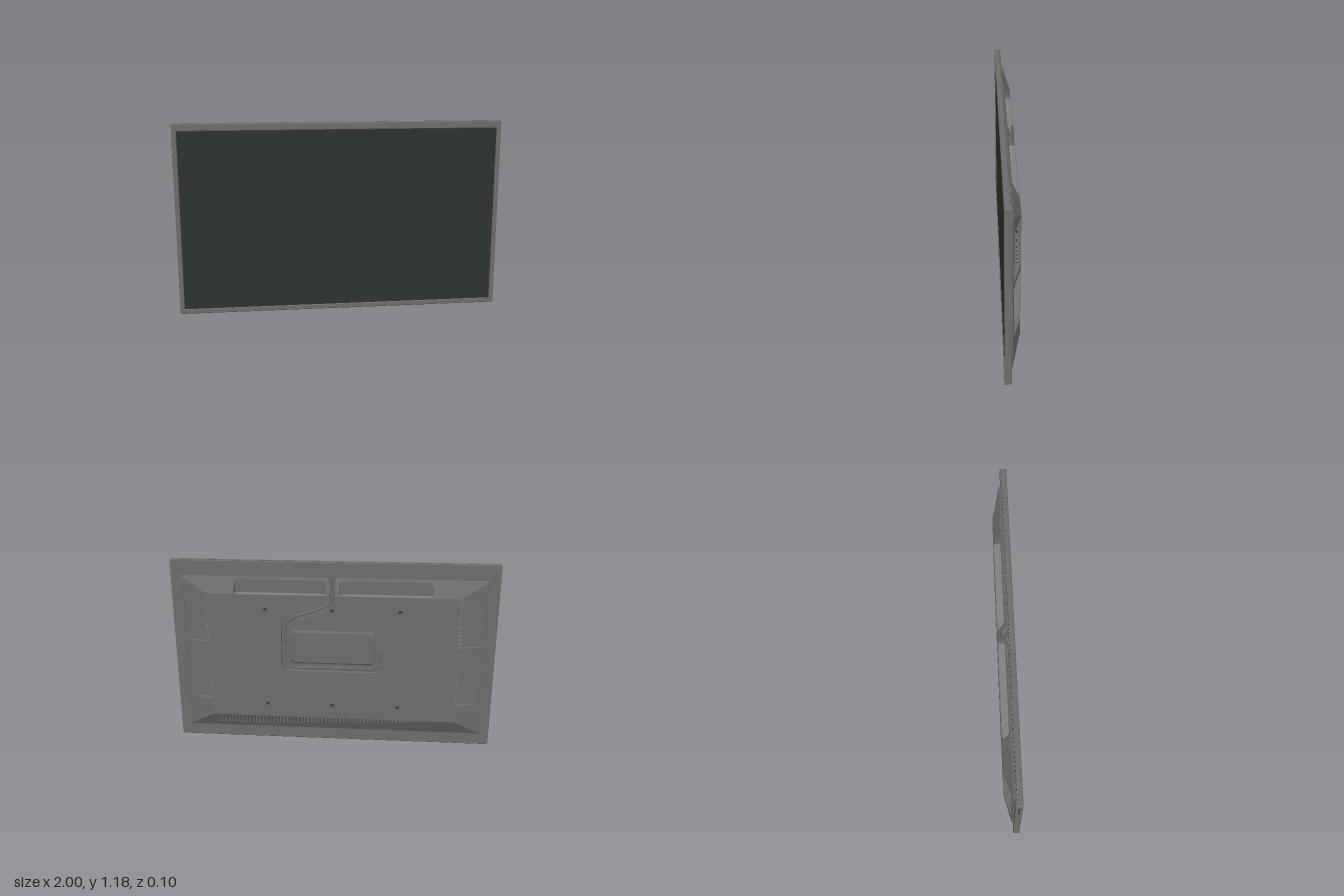
import * as THREE from 'three';
import { mergeGeometries } from 'three/addons/utils/BufferGeometryUtils.js';

const mat = (color) => new THREE.MeshStandardMaterial({ color, side: THREE.DoubleSide });
const body = mat(0x6c6c6c), glass = mat(0x2e332f), dark = mat(0x3a3a3a), trim = mat(0x808080);

// Rear housing: outer and plateau outlines, and the depth of its sloped skin
const OX = 0.94, PX = 0.77, OB = 0.08, PB = 0.175, OT = 1.08, PT = 0.98;
const skinZ = (x, y) => {
  const t = Math.min((OX - Math.abs(x)) / (OX - PX), (OT - y) / (OT - PT), (y - OB) / (PB - OB));
  return 0.003 - 0.048 * Math.min(1, Math.max(0, t));
};

export function createModel() {
  const model = new THREE.Group();
  const add = (name, geometry, material = body) => {
    const mesh = new THREE.Mesh(geometry, material);
    mesh.name = name;
    model.add(mesh);
    return mesh;
  };
  // Box given by its limits
  const block = (x0, x1, y0, y1, z0, z1) => new THREE.BoxGeometry(x1 - x0, y1 - y0, z1 - z0)
    .translate((x0 + x1) / 2, (y0 + y1) / 2, (z0 + z1) / 2);
  const rectPath = (P, x0, x1, y0, y1, r) => {
    const p = new P();
    p.moveTo(x0 + r, y0);
    p.lineTo(x1 - r, y0); p.quadraticCurveTo(x1, y0, x1, y0 + r);
    p.lineTo(x1, y1 - r); p.quadraticCurveTo(x1, y1, x1 - r, y1);
    p.lineTo(x0 + r, y1); p.quadraticCurveTo(x0, y1, x0, y1 - r);
    p.lineTo(x0, y0 + r); p.quadraticCurveTo(x0, y0, x0 + r, y0);
    return p;
  };
  const plate = (x0, x1, y0, y1, r, depth) => new THREE.ExtrudeGeometry(
    rectPath(THREE.Shape, x0, x1, y0, y1, r), { depth, bevelEnabled: false, curveSegments: 6 });

  // Skin panel: a flat outline laid on the housing slope, with walls down to the frame
  const skin = (name, shape) => {
    const top = new THREE.ShapeGeometry(shape, 6);
    const p = top.attributes.position;
    for (let i = 0; i < p.count; i++) p.setZ(i, skinZ(p.getX(i), p.getY(i)));
    const pts = shape.extractPoints(6).shape, walls = [];
    pts.forEach((a, i) => {
      const b = pts[(i + 1) % pts.length];
      const A = [a.x, a.y, skinZ(a.x, a.y)], B = [b.x, b.y, skinZ(b.x, b.y)];
      const C = [b.x, b.y, 0.012], D = [a.x, a.y, 0.012];
      walls.push(...A, ...B, ...C, ...A, ...C, ...D);
    });
    const side = new THREE.BufferGeometry();
    side.setAttribute('position', new THREE.Float32BufferAttribute(walls, 3));
    const flat = top.toNonIndexed();
    flat.deleteAttribute('uv');
    flat.computeVertexNormals();
    side.computeVertexNormals();
    add(name, mergeGeometries([flat, side]));
  };
  // Notch from a to b along an edge, from inner to outer, with rounded outer corners
  const notch = (a, b, inner, outer, r) => {
    const s = Math.sign(b - a), pts = [[a, inner]];
    for (let i = 0; i <= 5; i++) {
      const t = i / 5 * Math.PI / 2;
      pts.push([a + s * r * (1 - Math.cos(t)), outer - r * (1 - Math.sin(t))]);
    }
    for (let i = 0; i <= 5; i++) {
      const t = i / 5 * Math.PI / 2;
      pts.push([b - s * r * (1 - Math.sin(t)), outer - r * (1 - Math.cos(t))]);
    }
    return [...pts, [b, inner]];
  };
  const outline = (pts) => new THREE.Shape(pts.map(([x, y]) => new THREE.Vector2(x, y)));

  // Front frame, screen and back cover
  const bezel = rectPath(THREE.Shape, -0.994, 0.994, 0.004, 1.171, 0.008);
  bezel.holes.push(rectPath(THREE.Path, -0.974, 0.974, 0.026, 1.134, 0.002));
  add('bezel', new THREE.ExtrudeGeometry(bezel, {
    depth: 0.032, bevelThickness: 0.004, bevelSize: 0.004, bevelSegments: 1, curveSegments: 4,
  }).translate(0, 0, 0.014));
  add('screen', block(-0.975, 0.975, 0.025, 1.135, 0.03, 0.045), glass);
  add('backCover', block(-0.98, 0.98, 0.02, 1.155, 0.01, 0.03));

  // Small openings along the top rear edge, and control buttons on one side
  const holes = [];
  for (let i = 0; i < 80; i++) {
    const x = -0.96 + i * 1.92 / 79;
    holes.push(block(x - 0.005, x + 0.005, 1.1735, 1.1755, 0.016, 0.02));
  }
  add('topOpenings', mergeGeometries(holes), dark);
  for (let i = 0; i < 8; i++) {
    const y = 0.93 + i * 0.027;
    add('controlButton', block(-1, -0.99, y - 0.008, y + 0.008, 0.026, 0.034), dark);
    add('sideRib', block(0.99, 1, y - 0.008, y + 0.008, 0.028, 0.032));
  }

  // Pocket floors behind the skin
  add('pocketFloor', block(-0.928, 0.928, 0.087, 1.073, 0, 0.012));
  add('recessFloor', block(-0.325, 0.325, 0.48, 0.97, -0.018, 0));
  add('channelFloor', block(-0.02, 0.02, 0.96, 1.03, -0.018, 0));

  // Flat rear panel, opened by the cable channel and the central recess
  const rear = new THREE.Shape();
  rear.moveTo(-PX, PB); rear.lineTo(PX, PB); rear.lineTo(PX, PT); rear.lineTo(0.018, PT);
  const curve = (pts) => rear.splineThru(pts.map(([x, y]) => new THREE.Vector2(x, y)));
  curve([[0.024, 0.95], [0.05, 0.932], [0.11, 0.902], [0.26, 0.85], [0.3, 0.82], [0.315, 0.76]]);
  rear.lineTo(0.315, 0.55); rear.quadraticCurveTo(0.315, 0.49, 0.255, 0.49);
  rear.lineTo(-0.255, 0.49); rear.quadraticCurveTo(-0.315, 0.49, -0.315, 0.55);
  rear.lineTo(-0.315, 0.74); rear.quadraticCurveTo(-0.315, 0.8, -0.255, 0.8);
  rear.lineTo(0.2, 0.8);
  curve([[0.21, 0.822], [0.1, 0.862], [0.03, 0.898], [-0.006, 0.93], [-0.018, 0.96], [-0.018, PT]]);
  rear.lineTo(-PX, PT);
  skin('rearPanel', rear);

  // Sloped sides with port bays and hand grips, and the two top halves
  for (const m of [1, -1]) {
    const side = [[OB, OX], [OT, OX], [PT, PX], ...notch(0.975, 0.668, PX, 0.92, 0.004),
      ...notch(0.635, 0.285, PX, 0.92, 0.025), [PB, PX]];
    skin('sideSlope', outline(side.map(([y, x]) => [m * x, y])));
    const top = [[0.018, PT], ...notch(0.04, 0.6, PT, 1.065, 0.025), [PX, PT], [OX, OT], [0.018, OT]];
    skin('topSlope', outline(top.map(([x, y]) => [m * x, y])));

    // Grip plates on the inner walls of the pockets
    const grip = add('sideGrip', plate(0.002, 0.041, 0.289, 0.631, 0.018, 0.004), trim);
    grip.rotation.y = Math.PI / 2;
    grip.position.x = m > 0 ? PX - 0.001 : -PX - 0.003;
    const topGrip = add('topGrip', plate(0.044, 0.596, 0.002, 0.041, 0.018, 0.004), trim);
    topGrip.rotation.x = -Math.PI / 2;
    topGrip.position.set(m > 0 ? 0 : -0.64, PT - 0.001, 0);

    // Connectors: three flat sockets and five round jacks
    const wallX = m * (PX + 0.003);
    for (const y of [0.938, 0.885, 0.831]) {
      const socket = add('flatSocket', plate(-0.007, 0.007, y - 0.015, y + 0.015, 0.005, 0.008), trim);
      socket.rotation.y = m * Math.PI / 2;
      socket.position.set(m * PX, 0, -0.021);
      add('socketSlot', block(-0.004, 0.004, y - 0.01, y + 0.01, -0.003, 0.003), dark)
        .position.set(m * (PX + 0.005), 0, -0.021);
    }
    for (let i = 0; i < 5; i++) {
      const jack = add('roundJack', new THREE.CylinderGeometry(0.0085, 0.0085, 0.014, 16), trim);
      const core = add('jackCore', new THREE.CylinderGeometry(0.0045, 0.0045, 0.017, 12), dark);
      for (const part of [jack, core]) {
        part.rotation.z = Math.PI / 2;
        part.position.set(wallX, 0.788 - i * 0.025, -0.021);
      }
    }
  }

  // Bottom slope with a comb of vent slots
  const vents = [[-OX, OB], [-PX, PB]], count = 67, pitch = 1.51 / count;
  for (let i = 0; i < count; i++) {
    const x = -0.755 + (i + 0.2) * pitch, w = pitch * 0.55;
    vents.push([x, PB], [x, 0.108], [x + w, 0.108], [x + w, PB]);
  }
  skin('ventedBottomSlope', outline([...vents, [PX, PB], [OX, OB]]));

  // Raised cover inside the recess, leaving a moat for the cable
  add('recessCover', new THREE.ExtrudeGeometry(rectPath(THREE.Shape, -0.255, 0.255, 0.548, 0.742, 0.03), {
    depth: 0.014, bevelThickness: 0.006, bevelSize: 0.01, bevelSegments: 1, curveSegments: 6,
  }).translate(0, 0, -0.03));

  // Cable: out of the top, through the channel and round the moat
  const path = [[0, 1.09], [0, 1.02], [0, 0.97], [0.012, 0.937], [0.05, 0.91], [0.11, 0.882], [0.25, 0.832],
    [0.285, 0.79], [0.291, 0.7], [0.291, 0.57], [0.25, 0.518], [0.1, 0.514], [-0.15, 0.514],
    [-0.255, 0.516], [-0.29, 0.56], [-0.29, 0.62]];
  add('cable', new THREE.TubeGeometry(new THREE.CatmullRomCurve3(
    path.map(([x, y]) => new THREE.Vector3(x, y, -0.031)), false, 'centripetal'), 140, 0.007, 8));
  add('cableEnd', new THREE.CircleGeometry(0.007, 8).rotateX(-Math.PI / 2).translate(0, 1.09, -0.031));
  add('cablePlug', block(-0.313, -0.272, 0.615, 0.645, -0.04, -0.018));

  // Six mounting points on the back
  for (const x of [-0.41, 0, 0.41]) for (const y of [0.265, 0.89]) {
    const ring = add('mountRing', new THREE.TorusGeometry(0.014, 0.004, 6, 20));
    ring.position.set(x, y, -0.045);
    const hole = add('mountHole', new THREE.CircleGeometry(0.012, 20), dark);
    hole.position.set(x, y, -0.0455);
  }
  return model;
}
